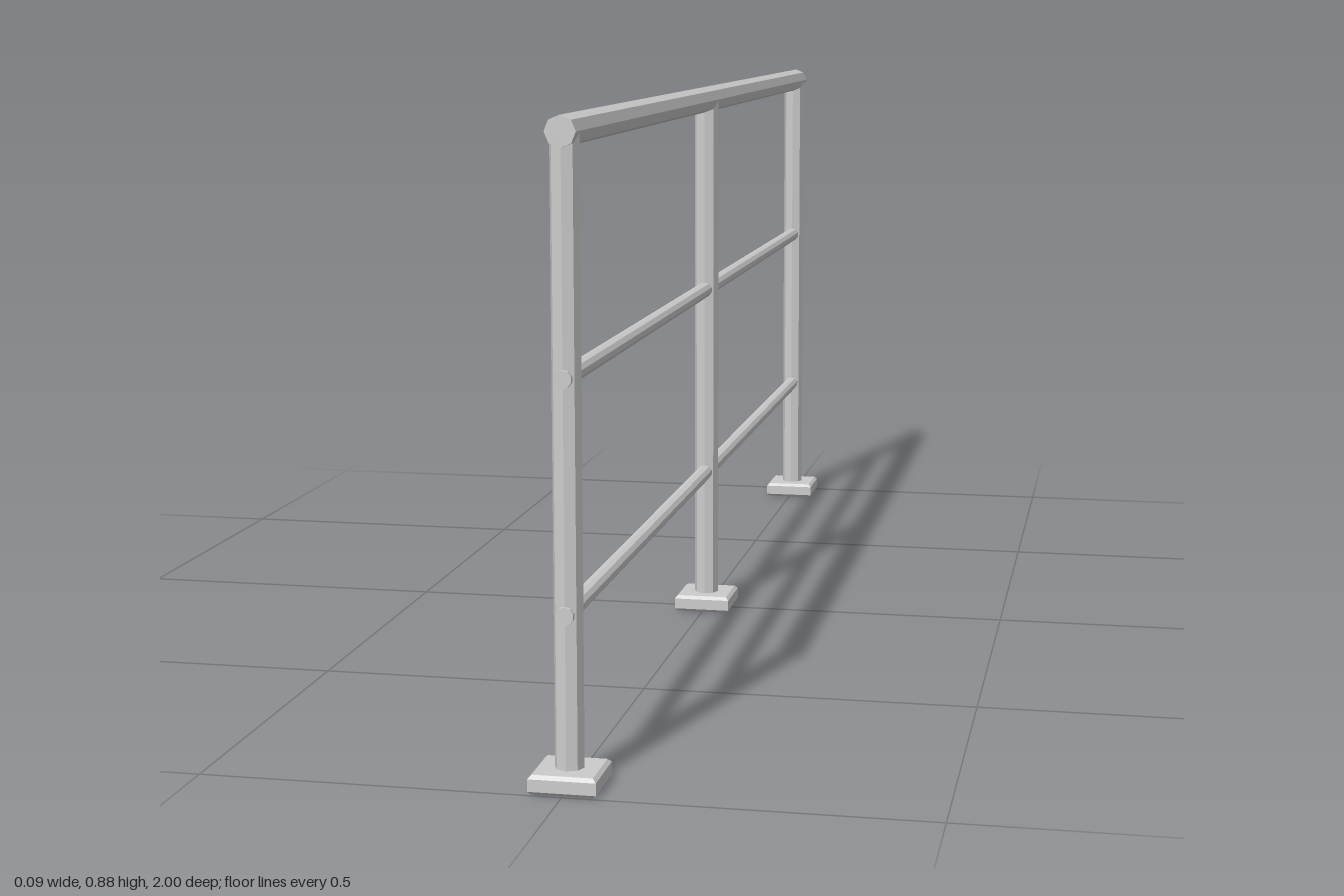
import * as THREE from 'three';

export function createModel() {
  const model = new THREE.Group();
  model.name = 'railing';
  const steel = new THREE.MeshStandardMaterial({ color: 0xcccccc, flatShading: true });
  steel.name = 'light grey steel';

  const add = (name, geometry, x, y, z) => {
    const mesh = new THREE.Mesh(geometry, steel);
    mesh.name = name;
    mesh.position.set(x, y, z);
    model.add(mesh);
  };

  // Square foot plate with a small bevel along its top and bottom edges
  const half = 0.046, bevel = 0.005, thickness = 0.027;
  const inner = half - bevel;
  const square = new THREE.Shape([
    new THREE.Vector2(-inner, -inner), new THREE.Vector2(inner, -inner),
    new THREE.Vector2(inner, inner), new THREE.Vector2(-inner, inner),
  ]);
  const plate = new THREE.ExtrudeGeometry(square, {
    depth: thickness - 2 * bevel, bevelEnabled: true,
    bevelSize: bevel, bevelThickness: bevel, bevelSegments: 1,
  });
  plate.rotateX(-Math.PI / 2).translate(0, bevel, 0);

  // Eight-sided posts standing on the plates
  const railY = 0.863;
  const postHeight = railY - 0.02;
  const post = new THREE.CylinderGeometry(0.02, 0.02, postHeight, 8);
  [['front', 0.954], ['middle', 0], ['back', -0.954]].forEach(([name, z]) => {
    add(name + 'FootPlate', plate, 0, 0, z);
    add(name + 'Post', post, 0, 0.02 + postHeight / 2, z);
  });

  // Horizontal rails running along z
  const rail = (radius, sides) =>
    new THREE.CylinderGeometry(radius, radius, 1.956, sides).rotateX(Math.PI / 2);
  add('handrail', rail(0.021, 8), 0, railY, 0);
  const thinRail = rail(0.0125, 10);
  add('upperRail', thinRail, 0, 0.547, 0);
  add('lowerRail', thinRail, 0, 0.236, 0);

  return model;
}
